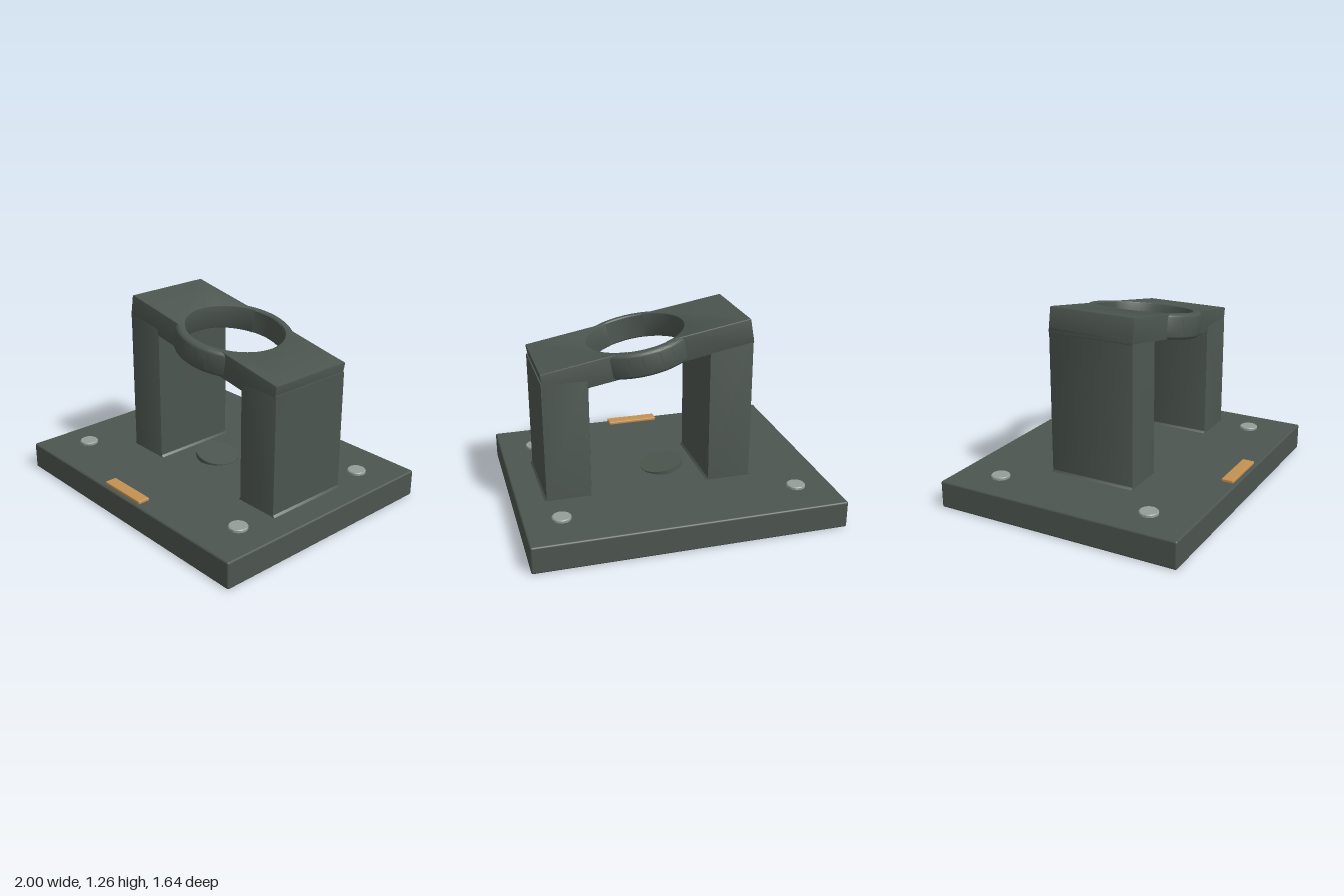
import * as THREE from 'three';
import { RoundedBoxGeometry } from 'three/addons/geometries/RoundedBoxGeometry.js';
import { toCreasedNormals } from 'three/addons/utils/BufferGeometryUtils.js';

const body = new THREE.MeshStandardMaterial({ color: 0x4c554f });
const metal = new THREE.MeshStandardMaterial({ color: 0x959d98 });
const amber = new THREE.MeshStandardMaterial({ color: 0xc49152 });

const TILT = THREE.MathUtils.degToRad(-10);
const HALF_WIDTH = 0.29;
const PLATE_T = 0.166;
const HOLE_R = 0.315;
const RING_R = 0.375;

function addMesh(parent, name, geometry, material, x = 0, y = 0, z = 0) {
  const mesh = new THREE.Mesh(geometry, material);
  mesh.name = name;
  mesh.position.set(x, y, z);
  parent.add(mesh);
  return mesh;
}

// Bevelled extrusion centred on its depth, keeping the outline size
function slab(shape, depth, bevel = 0.01) {
  const g = new THREE.ExtrudeGeometry(shape, {
    depth: depth - 2 * bevel, bevelThickness: bevel, bevelSize: bevel,
    bevelOffset: -bevel, bevelSegments: 2, curveSegments: 40,
  });
  g.translate(0, 0, -depth / 2 + bevel);
  return toCreasedNormals(g, 0.6);
}

// Upright leg with a small flare at the foot and a sloping top
function legGeometry(x0, x1, topLeft, topRight) {
  const points = [
    [x0 - 0.012, 0.16], [x1 + 0.012, 0.16], [x1 + 0.012, 0.177], [x1, 0.19],
    [x1, topRight], [x0, topLeft], [x0, 0.19], [x0 - 0.012, 0.177],
  ].map(([x, y]) => new THREE.Vector2(x, y));
  return slab(new THREE.Shape(points), HALF_WIDTH * 2, 0.006);
}

// Half of the top plate, ending in a round bite for the opening
function plateHalf(length) {
  const bite = Math.acos(Math.sqrt(1 - (HALF_WIDTH / HOLE_R) ** 2));
  const shape = new THREE.Shape();
  shape.moveTo(-length, -HALF_WIDTH);
  shape.lineTo(-HOLE_R * Math.cos(bite), -HALF_WIDTH);
  shape.absarc(0, 0, HOLE_R, Math.PI + bite, Math.PI - bite, true);
  shape.lineTo(-length, HALF_WIDTH);
  shape.closePath();
  return slab(shape, PLATE_T, 0.008).rotateX(-Math.PI / 2);
}

// Bulging arc of the ring, centred on the +z side
function ringArc() {
  const h = PLATE_T / 2 - 0.001;
  const inner = HOLE_R + 0.001;
  const r = 0.03;
  const profile = [new THREE.Vector2(inner, -h + 0.008), new THREE.Vector2(inner + 0.008, -h)];
  for (const side of [-1, 1]) {
    for (let i = 0; i <= 6; i++) {
      const a = (side < 0 ? -Math.PI / 2 : 0) + (i / 6) * Math.PI / 2;
      profile.push(new THREE.Vector2(RING_R - r + r * Math.cos(a), side * (h - r) + r * Math.sin(a)));
    }
  }
  profile.push(new THREE.Vector2(inner + 0.008, h), new THREE.Vector2(inner, h - 0.008), profile[0].clone());
  return toCreasedNormals(new THREE.LatheGeometry(profile, 36, -0.69, 1.38), 0.6);
}

export function createModel() {
  const model = new THREE.Group();
  model.name = 'scannerStand';

  // Base slab
  addMesh(model, 'base', new RoundedBoxGeometry(2, 0.177, 1.64, 3, 0.012), body, 0, 0.0885, 0);

  // Legs
  addMesh(model, 'tallLeg', legGeometry(-0.535, -0.25, 1.13, 1.09), body);
  addMesh(model, 'shortLeg', legGeometry(0.525, 0.815, 0.96, 0.96), body);

  // Tilted top with the round opening
  const top = new THREE.Group();
  top.name = 'tiltedTop';
  top.position.set(0.145, 1.057, 0);
  top.rotation.z = TILT;
  model.add(top);
  addMesh(top, 'upperPlate', plateHalf(0.679), body);
  addMesh(top, 'lowerPlate', plateHalf(0.668), body).rotation.y = Math.PI;
  const arc = ringArc();
  addMesh(top, 'frontRing', arc, body);
  addMesh(top, 'backRing', arc, body).rotation.y = Math.PI;

  // Tilted disc sunk into the base below the opening
  const disc = new THREE.CylinderGeometry(0.142, 0.142, 0.03, 48).translate(0, -0.015, 0);
  addMesh(model, 'sunkenDisc', disc, body, -0.01, 0.205, 0).rotation.z = TILT;

  // Corner screws
  const screw = toCreasedNormals(new THREE.LatheGeometry(
    [[0, -0.01], [0.06, -0.01], [0.06, 0.014], [0.055, 0.019], [0, 0.019]]
      .map(([x, y]) => new THREE.Vector2(x, y)), 40), 0.6);
  for (const x of [-0.767, 0.763])
    for (const z of [-0.53, 0.525]) addMesh(model, 'screw', screw, metal, x, 0.177, z);

  // Coloured strip at the front edge
  addMesh(model, 'frontStrip', new RoundedBoxGeometry(0.35, 0.022, 0.08, 2, 0.006), amber, -0.003, 0.193, 0.763);

  return model;
}
